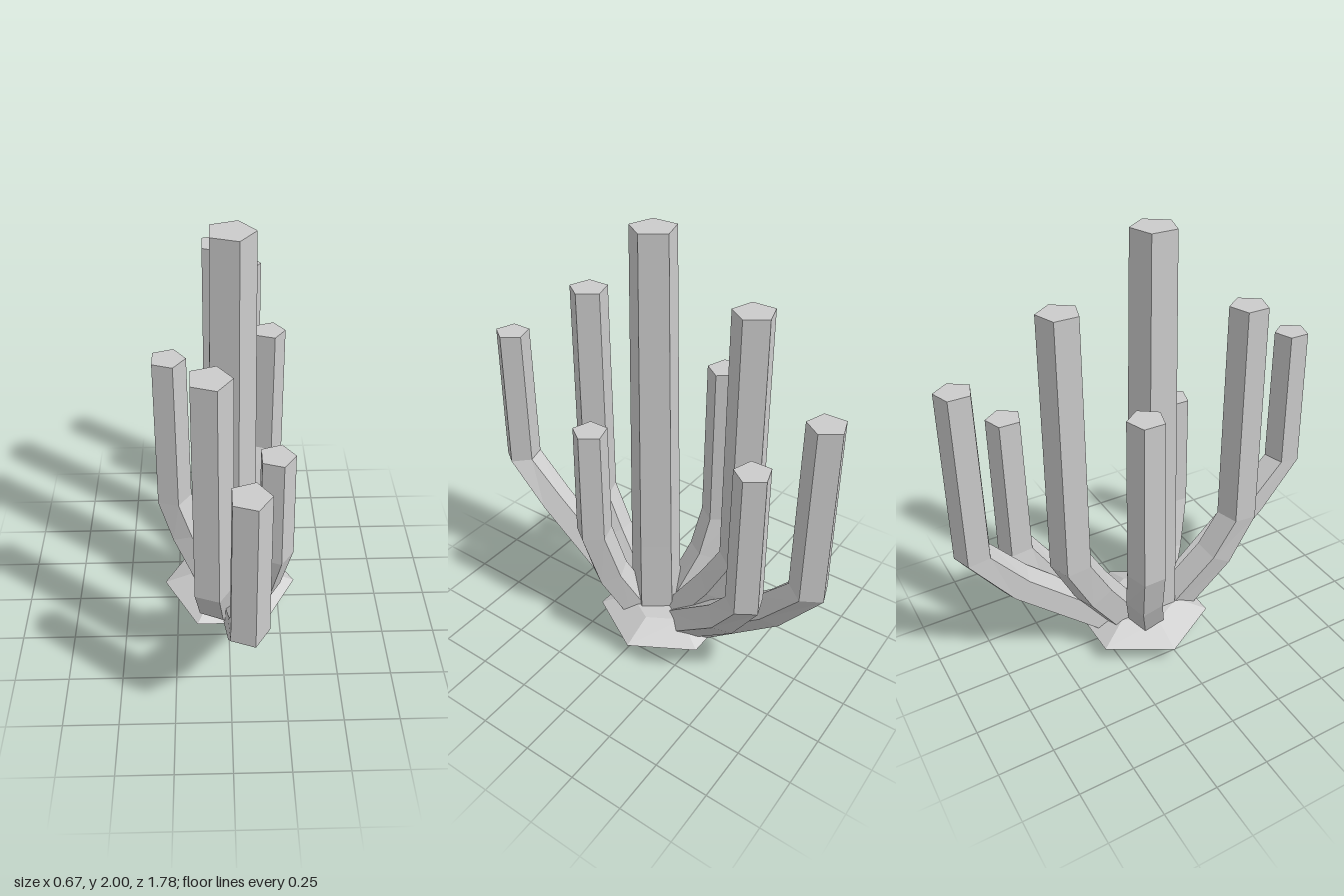
import * as THREE from 'three';

const SIDES = 5;

// Each stem: tip radius and centre points from root to tip.
const STEMS = [
  { name: 'centralStem', r: 0.1, pts: [[0.01, 0.03, 0.025], [0.01, 0.5, 0.03], [0.01, 2, 0.035]] },
  { name: 'backOuterStem', r: 0.08, pts: [[0.04, 0.06, -0.18], [0.08, 0.45, -0.635], [0.1, 0.665, -0.81], [0.1, 1.46, -0.805]] },
  { name: 'backLeftStem', r: 0.079, pts: [[0.05, 0.06, -0.14], [0.16, 0.36, -0.45], [0.21, 0.55, -0.575], [0.212, 1.22, -0.575]] },
  { name: 'backInnerStem', r: 0.09, pts: [[0.01, 0.06, -0.11], [-0.02, 0.34, -0.3], [-0.03, 0.55, -0.41], [-0.03, 1.75, -0.405]] },
  { name: 'rightStem', r: 0.082, pts: [[-0.06, 0.05, -0.04], [-0.2, 0.34, -0.13], [-0.262, 0.55, -0.155], [-0.26, 1.33, -0.155]] },
  { name: 'leftStem', r: 0.08, pts: [[0.07, 0.05, 0.08], [0.16, 0.3, 0.19], [0.205, 0.55, 0.245], [0.2, 1.1, 0.245]] },
  { name: 'frontInnerStem', r: 0.088, pts: [[0.0, 0.06, 0.12], [-0.06, 0.34, 0.34], [-0.077, 0.55, 0.45], [-0.077, 1.62, 0.448]] },
  { name: 'frontOuterStem', r: 0.08, pts: [[0.04, 0.06, 0.13], [0.055, 0.48, 0.62], [0.06, 0.685, 0.81], [0.06, 1.365, 0.802]] },
];

// Pentagonal tube swept through the points, capped at both ends.
function stemGeometry(points, tipRadius) {
  const pts = points.map((p) => new THREE.Vector3(...p));
  const last = pts.length - 1;
  const up = new THREE.Vector3(0, 1, 0);
  const rings = pts.map((p, i) => {
    const before = p.clone().sub(pts[Math.max(i - 1, 0)]).normalize();
    const after = pts[Math.min(i + 1, last)].clone().sub(p).normalize();
    const normal = before.add(after).normalize();
    // the upper bend and the tip are cut almost level
    if (i === last) normal.copy(up);
    else if (i === last - 1) normal.lerp(up, 0.65).normalize();
    const u = new THREE.Vector3(1, 0, 0).addScaledVector(normal, -normal.x).normalize();
    const v = normal.clone().cross(u);
    const swell = i === last ? 1 : last === 2 ? 1.27 - 0.07 * i : 1.08;
    const ring = [];
    for (let k = 0; k < SIDES; k++) {
      const a = (k / SIDES) * Math.PI * 2;
      ring.push(p.clone()
        .addScaledVector(u, Math.cos(a) * tipRadius * swell)
        .addScaledVector(v, Math.sin(a) * tipRadius * swell));
    }
    return ring;
  });

  const tris = [];
  for (let i = 0; i < last; i++) {
    for (let k = 0; k < SIDES; k++) {
      const n = (k + 1) % SIDES;
      const [a, b, c, d] = [rings[i][k], rings[i][n], rings[i + 1][n], rings[i + 1][k]];
      tris.push(a, b, c, a, c, d);
    }
  }
  for (let k = 1; k < SIDES - 1; k++) {
    tris.push(rings[last][0], rings[last][k], rings[last][k + 1]);
    tris.push(rings[0][0], rings[0][k + 1], rings[0][k]);
  }
  const geometry = new THREE.BufferGeometry().setFromPoints(tris);
  geometry.computeVertexNormals();
  return geometry;
}

export function createModel() {
  const model = new THREE.Group();
  model.name = 'cactus';
  const material = new THREE.MeshStandardMaterial({ color: 0xcccccc, flatShading: true });
  const openMaterial = material.clone();
  openMaterial.side = THREE.DoubleSide;

  for (const { name, r, pts } of STEMS) {
    const stem = new THREE.Mesh(stemGeometry(pts, r), material);
    stem.name = name;
    model.add(stem);
  }

  // Low six-sided mound of soil, open below
  const mound = new THREE.Group();
  mound.name = 'soilMound';
  mound.position.set(0.01, 0, -0.035);
  const slope = new THREE.Mesh(new THREE.CylinderGeometry(0.175, 0.325, 0.065, 6, 1, true, Math.PI / 2), openMaterial);
  slope.name = 'moundSlope';
  slope.position.y = 0.1025;
  const top = new THREE.Mesh(new THREE.CircleGeometry(0.175, 6), openMaterial);
  top.name = 'moundTop';
  top.rotation.x = -Math.PI / 2;
  top.position.y = 0.135;
  mound.add(slope, top);
  model.add(mound);

  return model;
}
